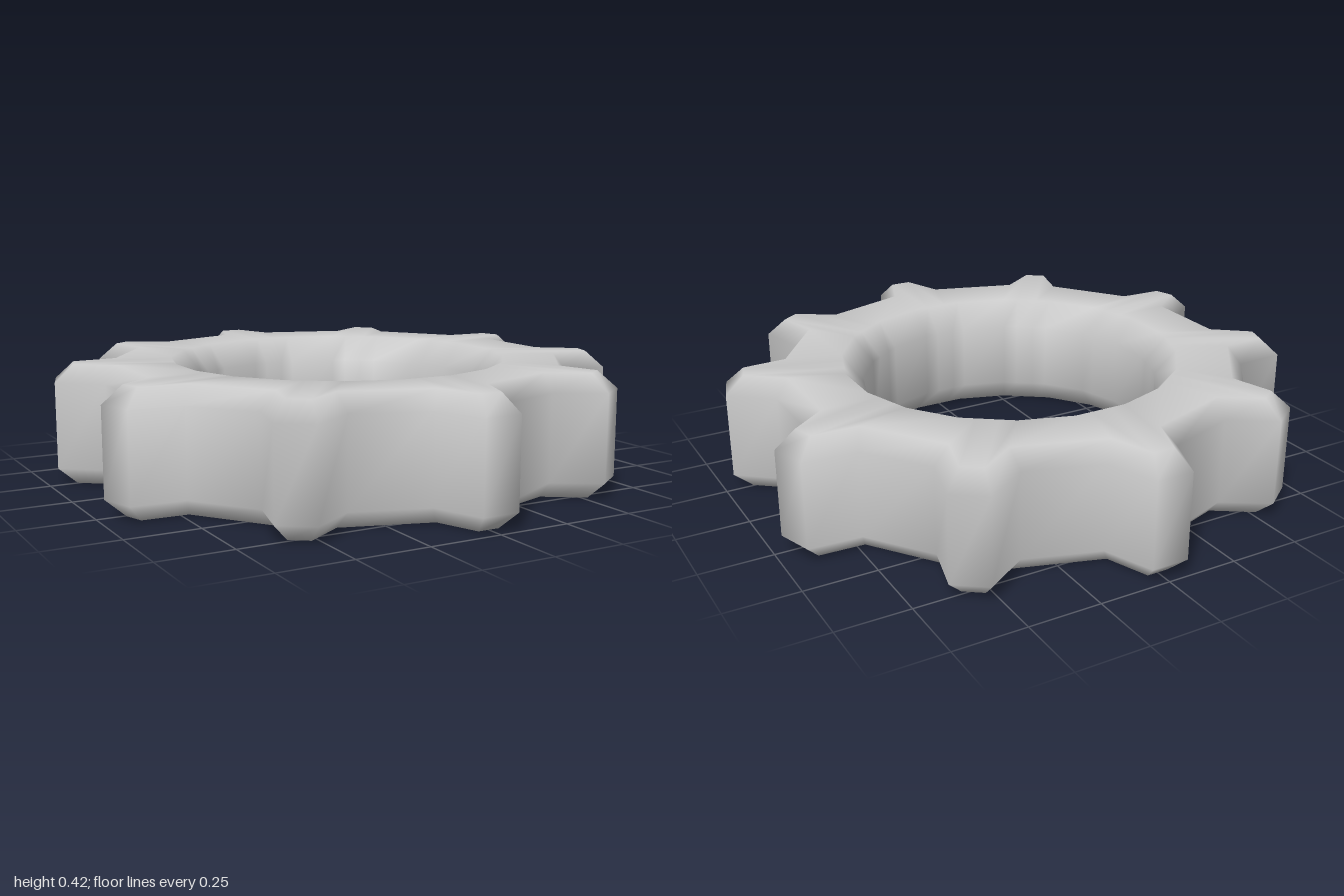
import * as THREE from 'three';

const TEETH = 10;
const HEIGHT = 0.42;
const BEVEL = 0.06;

// Half of one tooth, as [x, z] with the tooth pointing along +z.
// outer: widest outline, cap: outline inset by the bevel on the flat faces.
const BASE = { outer: [0.131, 0.83], cap: [0.092, 0.79] };
const TIP = { outer: [0.065, 1.0], cap: [0.037, 0.937] };

// The hole is a 20-sided polygon with its corners in line with the tooth bases.
const HOLE_ANGLE = Math.PI / 20;
const holePoint = (radius, t) => [radius * Math.sin(HOLE_ANGLE) * t, radius * Math.cos(HOLE_ANGLE)];

// Closed cross-section for one column: up the outside, over the top, down the hole, back below.
function section({ outer, cap }, t) {
  const wall = holePoint(0.527, t);
  const lip = holePoint(0.6, t);
  return [
    [outer, BEVEL], [outer, HEIGHT - BEVEL], [cap, HEIGHT], [lip, HEIGHT],
    [wall, HEIGHT - 0.09], [wall, 0.09], [lip, 0], [cap, 0],
  ];
}

function gearGeometry() {
  const baseSection = section(BASE, 1);
  const tipSection = section(TIP, 0.4);
  const columns = [[baseSection, -1], [tipSection, -1], [tipSection, 1], [baseSection, 1]];
  const positions = [];
  const indices = [];

  // Four columns per tooth, turned around the y axis
  for (let k = 0; k < TEETH; k++) {
    const a = (k / TEETH) * Math.PI * 2;
    for (const [points, side] of columns) {
      for (const [[x, z], y] of points) {
        const sx = x * side;
        positions.push(sx * Math.cos(a) + z * Math.sin(a), y, z * Math.cos(a) - sx * Math.sin(a));
      }
    }
  }

  // Skin neighbouring columns, closing both ways
  const rings = baseSection.length;
  const count = TEETH * columns.length;
  for (let j = 0; j < count; j++) {
    const next = (j + 1) % count;
    for (let i = 0; i < rings; i++) {
      const up = (i + 1) % rings;
      const p = j * rings + i, q = next * rings + i;
      const r = next * rings + up, s = j * rings + up;
      indices.push(p, q, r, p, r, s);
    }
  }

  const geometry = new THREE.BufferGeometry();
  geometry.setAttribute('position', new THREE.Float32BufferAttribute(positions, 3));
  geometry.setIndex(indices);
  geometry.computeVertexNormals(); // smooth over the bevels
  return geometry;
}

export function createModel() {
  const model = new THREE.Group();
  model.name = 'gear';
  const ring = new THREE.Mesh(gearGeometry(), new THREE.MeshStandardMaterial({ color: 0xcccccc }));
  ring.name = 'toothedRing';
  model.add(ring);
  return model;
}
